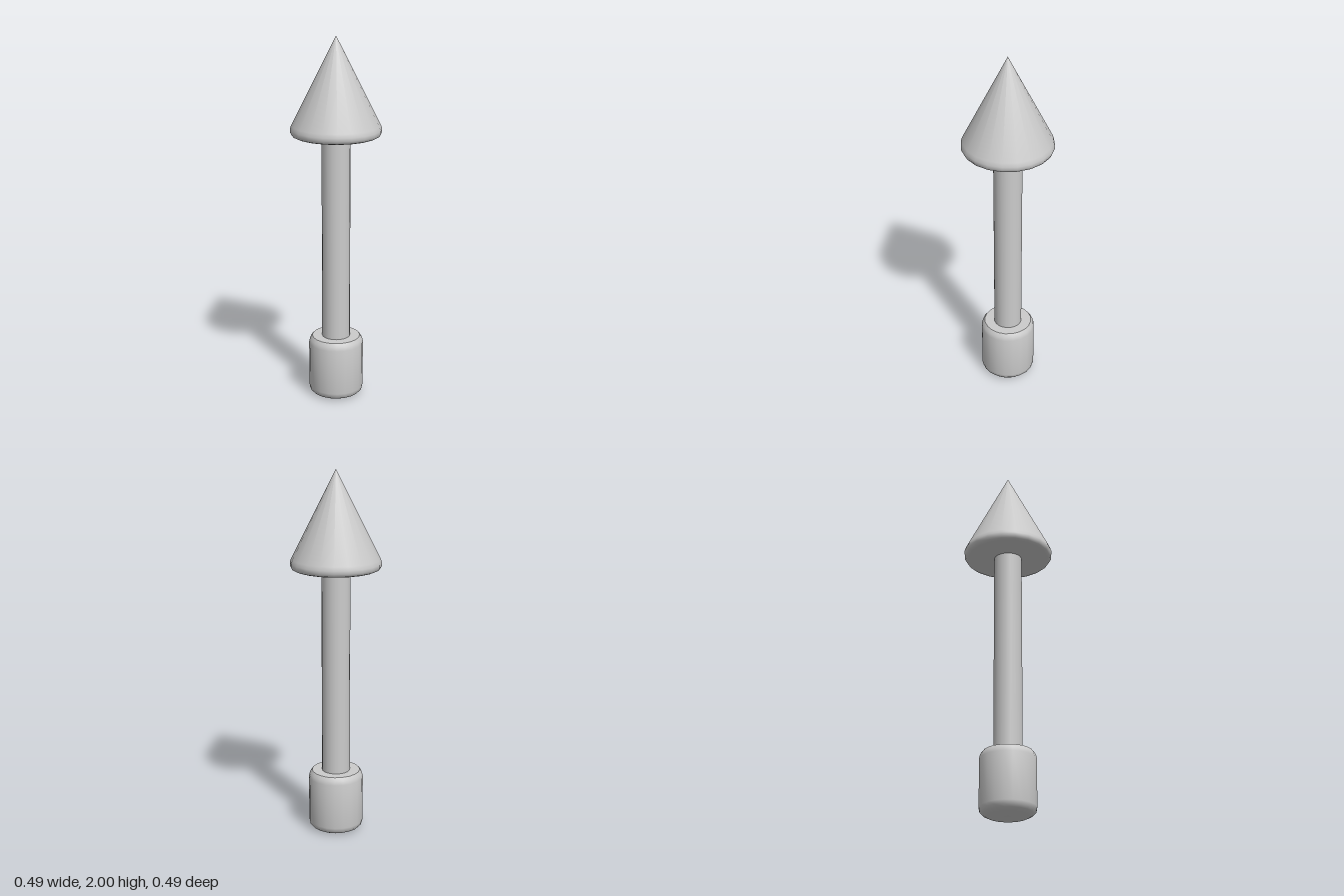
import * as THREE from 'three';
import { toCreasedNormals } from 'three/addons/utils/BufferGeometryUtils.js';

const SIDES = 20;
const grey = new THREE.MeshStandardMaterial({ color: 0xcccccc });

// Turn a profile of [radius, height] points, listed bottom to top
function turned(name, profile) {
  const points = profile.map(([r, y]) => new THREE.Vector2(r, y));
  const geometry = toCreasedNormals(new THREE.LatheGeometry(points, SIDES), 0.7);
  const mesh = new THREE.Mesh(geometry, grey);
  mesh.name = name;
  return mesh;
}

export function createModel() {
  const model = new THREE.Group();
  model.name = 'arrow';

  // Bevelled cylindrical base
  model.add(turned('base', [
    [0, 0], [0.11, 0], [0.134, 0.012], [0.146, 0.025], [0.15, 0.045],
    [0.15, 0.3], [0.145, 0.322], [0.132, 0.34], [0, 0.34],
  ]));

  // Straight shaft, let into the base and the head
  const shaft = new THREE.Mesh(new THREE.CylinderGeometry(0.077, 0.077, 1.18, SIDES, 1, true), grey);
  shaft.name = 'shaft';
  shaft.position.y = 0.91;
  model.add(shaft);

  // Pointed head with a rounded lower rim
  model.add(turned('head', [
    [0, 1.473], [0.222, 1.473], [0.236, 1.479], [0.244, 1.493],
    [0.244, 1.51], [0.237, 1.53], [0, 2],
  ]));

  return model;
}
